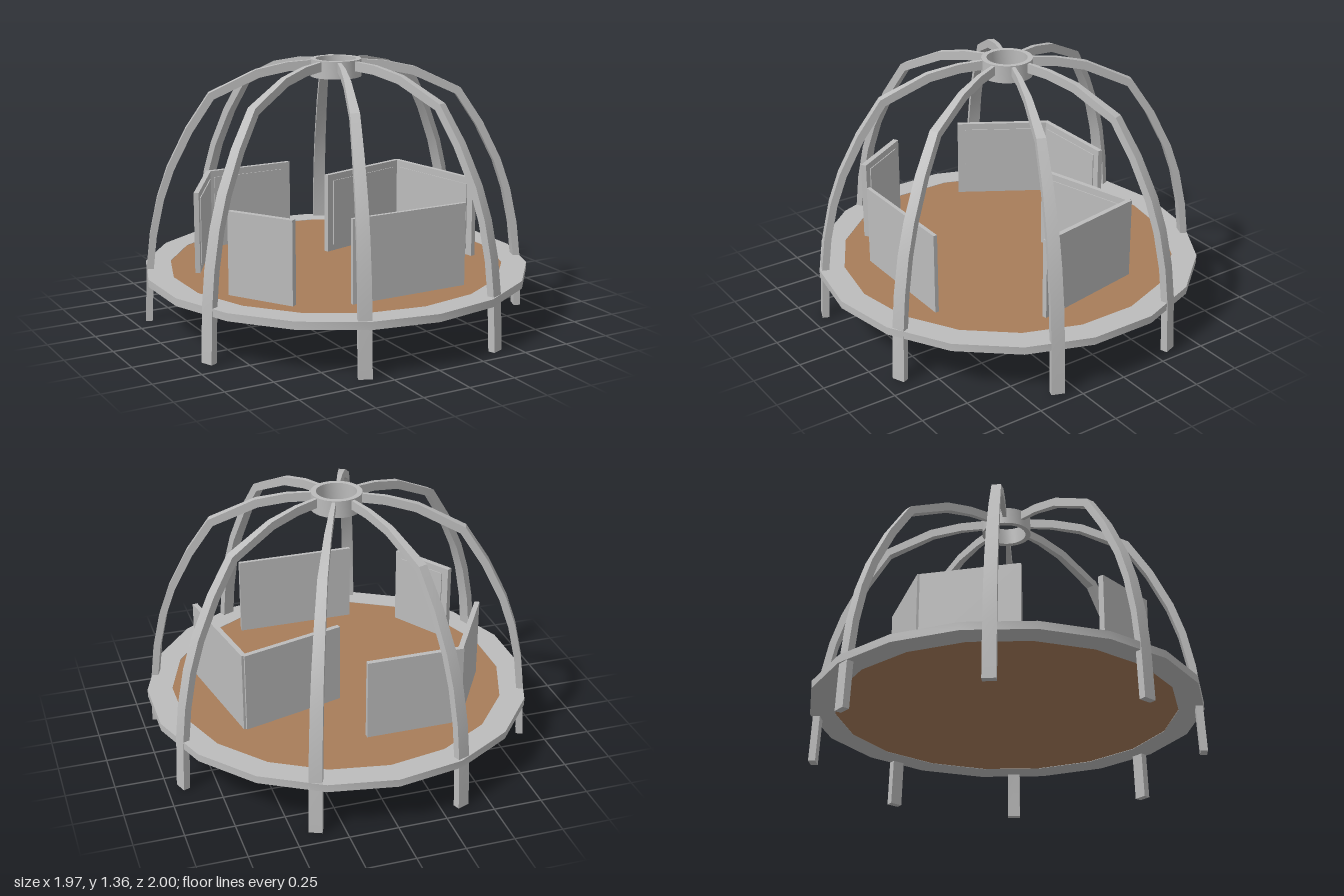
import * as THREE from 'three';
import { toCreasedNormals } from 'three/addons/utils/BufferGeometryUtils.js';

const steel = new THREE.MeshStandardMaterial({ color: 0xbcbcbc });
steel.name = 'light grey steel';
const wood = new THREE.MeshStandardMaterial({ color: 0xa87d5a });
wood.name = 'brown floor';

function addMesh(parent, name, geometry, material) {
  const mesh = new THREE.Mesh(geometry, material);
  mesh.name = name;
  parent.add(mesh);
  return mesh;
}

// Rectangular-section ring turned around the y axis
function ring(inner, outer, bottom, top, sides) {
  const profile = [[inner, bottom], [outer, bottom], [outer, top], [inner, top], [inner, bottom]];
  const points = profile.map(([r, y]) => new THREE.Vector2(r, y));
  return toCreasedNormals(new THREE.LatheGeometry(points, sides), 0.5);
}

// Outer edge of a dome rib as [radius, height], from foot to hub
const ribProfile = [
  [1.0, 0], [0.987, 0.28], [0.966, 0.46], [0.925, 0.65], [0.87, 0.81],
  [0.77, 1.01], [0.65, 1.19], [0.41, 1.305], [0.25, 1.34], [0.12, 1.35],
];

// A box bent along the profile, narrowing towards the hub
function ribGeometry() {
  const last = ribProfile.length - 1;
  const geometry = new THREE.BoxGeometry(1, 1, 1, 1, last, 1);
  const pos = geometry.attributes.position;
  for (let i = 0; i < pos.count; i++) {
    const k = Math.round((pos.getY(i) + 0.5) * last);
    const [r, y] = ribProfile[k];
    const a = ribProfile[Math.max(k - 1, 0)];
    const b = ribProfile[Math.min(k + 1, last)];
    const normal = k === 0
      ? new THREE.Vector2(1, 0)
      : new THREE.Vector2(b[1] - a[1], a[0] - b[0]).normalize();
    const width = 0.012 + 0.055 * r;
    const depth = (0.5 - pos.getZ(i)) * (0.05 - 0.014 * r);
    pos.setXYZ(i, pos.getX(i) * width, y - normal.y * depth, r - normal.x * depth);
  }
  return toCreasedNormals(geometry, 0.5);
}

// Upright wall between two plan points, with an optional pane on one side
function addWall(parent, name, [x1, z1], [x2, z2], thickness, paneSide) {
  const bottom = 0.275, height = 0.425;
  const length = Math.hypot(x2 - x1, z2 - z1);
  const wall = new THREE.Group();
  wall.name = name;
  wall.position.set((x1 + x2) / 2, bottom + height / 2, (z1 + z2) / 2);
  wall.rotation.y = -Math.atan2(z2 - z1, x2 - x1);
  addMesh(wall, name + 'Board', new THREE.BoxGeometry(length, height, thickness), steel);
  if (paneSide) {
    const pane = addMesh(wall, name + 'Pane',
      new THREE.BoxGeometry(length - 0.08, height - 0.07, 0.006), steel);
    pane.position.z = paneSide * (thickness / 2 + 0.002);
  }
  parent.add(wall);
}

export function createModel() {
  const model = new THREE.Group();
  model.name = 'domedPlatform';

  // Round platform: grey rim around a brown floor
  addMesh(model, 'platformRim', ring(0.87, 1, 0.24, 0.28, 18), steel);
  const floor = addMesh(model, 'floor',
    toCreasedNormals(new THREE.CylinderGeometry(0.871, 0.871, 0.036, 18), 0.5), wood);
  floor.position.y = 0.26;

  // Dome ribs, mirrored front to back
  const rib = ribGeometry();
  for (const angle of [20.6, 66.7, 111.4, 157.5]) {
    for (const side of [1, -1]) {
      const mesh = addMesh(model, 'domeRib', rib, steel);
      mesh.rotation.y = THREE.MathUtils.degToRad(90 - side * angle);
    }
  }

  // Hub ring at the crown
  addMesh(model, 'hubRing', ring(0.103, 0.13, 1.265, 1.355, 32), steel);

  // Angled pair of walls at the back right
  addWall(model, 'backWall', [-0.47, -0.59], [0.03, -0.59], 0.026, 1);
  addWall(model, 'backSideWall', [-0.72, -0.16], [-0.46, -0.585], 0.026, 1);

  // Angled pair of walls at the left
  addWall(model, 'innerWall', [0.05, -0.195], [0.585, -0.342], 0.026, 1);
  addWall(model, 'leftWall', [0.583, -0.345], [0.692, 0.26], 0.026, 1);

  // Single walls at the right and the front
  addWall(model, 'rightWall', [-0.725, 0.24], [-0.535, 0.55], 0.03, -1);
  addWall(model, 'frontWall', [-0.285, 0.663], [0.355, 0.663], 0.02, 0);

  return model;
}
